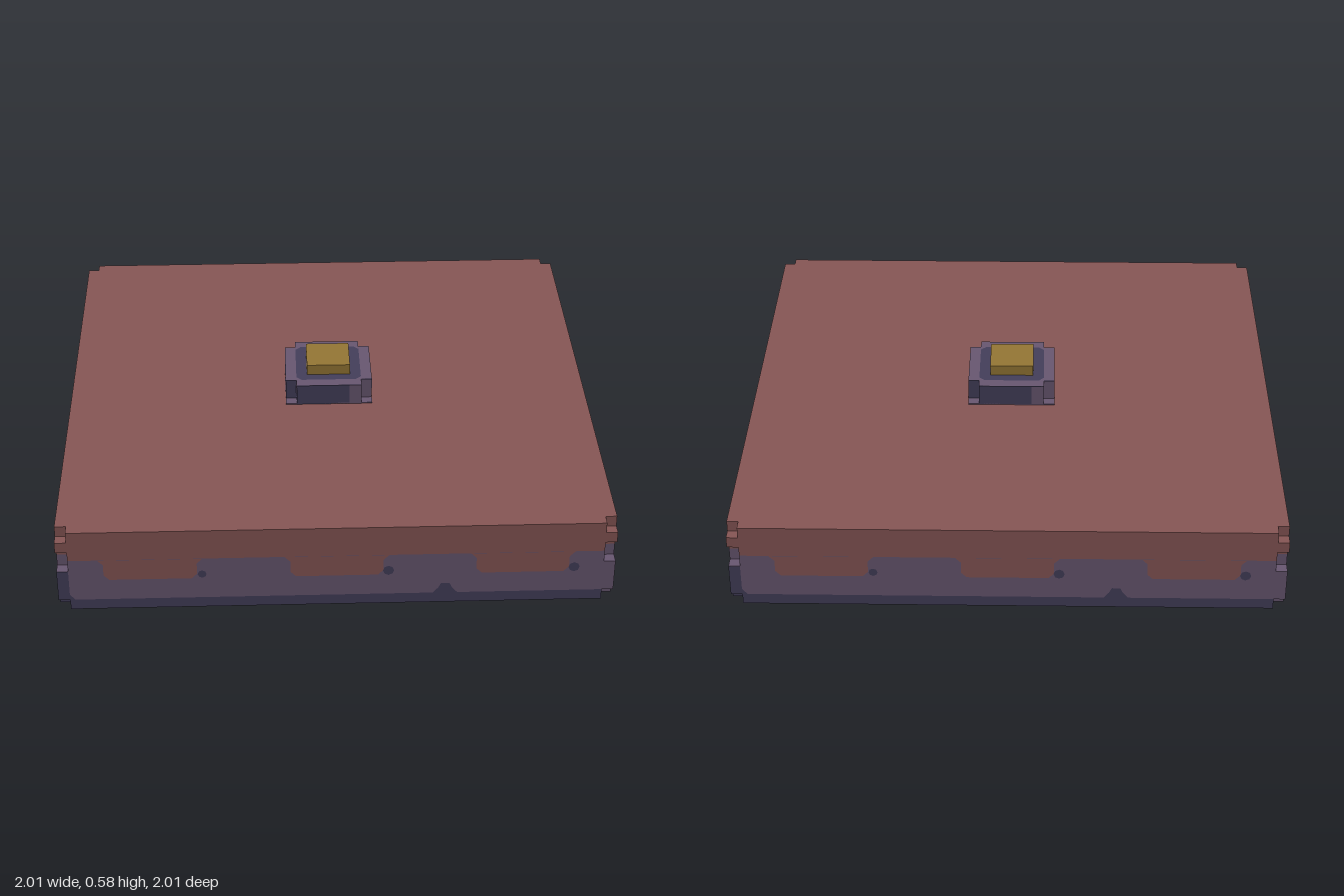
import * as THREE from 'three';

const U = 1 / 24; // one grid step
const mat = (name, color) => new THREE.MeshStandardMaterial({ name, color });

export function createModel() {
  const clay = mat('clay', 0x875756);
  const mauve = mat('mauve', 0x695872);
  const navy = mat('navy', 0x443f5b);
  const gold = mat('gold', 0x967735);
  const root = new THREE.Group();

  const add = (parent, name, geo, material, x = 0, y = 0, z = 0) => {
    const m = new THREE.Mesh(geo, material);
    m.name = name;
    m.position.set(x, y, z);
    parent.add(m);
    return m;
  };
  const box = (name, material, w, y0, y1, x = 0, z = 0) =>
    add(root, name, new THREE.BoxGeometry(w, y1 - y0, w), material, x, (y0 + y1) / 2, z);
  const poly = (pts) => new THREE.Shape(pts.map(([x, y]) => new THREE.Vector2(x, y)));
  const plate = (parent, name, pts, material, z) =>
    add(parent, name, new THREE.ShapeGeometry(poly(pts)), material, 0, 0, z);
  const rect = (x0, x1, y0, y1) => [[x0, y0], [x1, y0], [x1, y1], [x0, y1]];

  // Square outline with a one-step notch in every corner
  const notched = (h) => {
    const i = h - U;
    return poly([[-i, -h], [i, -h], [i, -i], [h, -i], [h, i], [i, i],
      [i, h], [-i, h], [-i, i], [-h, i], [-h, -i], [-i, -i]]);
  };
  const layer = (name, material, h, y0, y1) => {
    const geo = new THREE.ExtrudeGeometry(notched(h), { depth: y1 - y0, bevelEnabled: false });
    geo.rotateX(-Math.PI / 2);
    return add(root, name, geo, material, 0, y0, 0);
  };

  // Slab in three colour bands
  const bottom = 3 * U, top = 11 * U, band = 0.338;
  layer('slabBase', navy, 1, bottom, 4 * U);
  layer('slabMiddle', mauve, 1, 4 * U, band);
  layer('slabTop', clay, 1, band, top);

  // Corner blocks between the notches
  for (const sx of [-1, 1]) for (const sz of [-1, 1]) {
    const x = sx * (1 - U / 2), z = sz * (1 - U / 2);
    box('upperCornerBlock', clay, U, 9 * U, 10 * U, x, z);
    box('lowerCornerBlock', mauve, U, 4 * U, 7 * U, x, z);
  }

  // Hub on top, with a rounded inlay inside its rim
  const hub = 4 * U, hubTop = 13 * U, r = 0.02, q = 3 * U;
  layer('topHub', navy, hub, top, hubTop);
  box('hubFoot', mauve, 2 * hub, top, top + 0.004);
  const rim = notched(hub);
  const hole = new THREE.Path();
  hole.moveTo(-q + r, -q);
  hole.lineTo(q - r, -q); hole.lineTo(q, -q + r);
  hole.lineTo(q, q - r); hole.lineTo(q - r, q);
  hole.lineTo(-q + r, q); hole.lineTo(-q, q - r);
  hole.lineTo(-q, -q + r);
  hole.closePath();
  rim.holes.push(hole);
  add(root, 'hubRim', new THREE.ShapeGeometry(rim), mauve, 0, hubTop + 0.002, 0).rotation.x = -Math.PI / 2;
  box('topStud', gold, 4 * U, hubTop, 14 * U);

  // Hub underneath
  box('bottomHub', navy, 2 * hub, U, bottom);
  box('bottomHubFace', mauve, 2 * hub - 0.01, U - 0.002, U);
  box('bottomStud', gold, 4 * U, 0, U);

  // Painted details on all four sides
  const e = 0.0015, inner = 1 - U;
  for (let i = 0; i < 4; i++) {
    const side = new THREE.Group();
    side.name = 'sidePaint';
    side.rotation.y = i * Math.PI / 2;
    root.add(side);

    // Clay teeth hanging from the upper band, each with a dot beside it
    for (const c of [-2 / 3, 0, 2 / 3]) {
      const a = c - 1 / 6, b = c + 1 / 6, k = 0.02, low = 0.253;
      plate(side, 'tooth', [[a - k, band], [a, band - k], [a, low + k], [a + k, low], [b - k, low],
        [b, low + k], [b, band - k], [b + k, band]], clay, 1 + e);
      const dot = c < -0.5 ? 0.016 : 0.02;
      add(side, 'dot', new THREE.CircleGeometry(dot, 8), navy, b + 0.018, 0.272, 1 + 2 * e);
    }

    // Bump rising from the navy base, differing on alternate sides
    const bump = i % 2 ? -1 / 3 : 0.39, w = i % 2 ? 0.025 : 0.015;
    plate(side, 'bump', [[bump - w - 0.03, 4 * U], [bump + w + 0.03, 4 * U], [bump + w + 0.01, 0.19],
      [bump + w, 0.21], [bump - w, 0.21], [bump - w - 0.01, 0.19]], navy, 1 + e);

    // Navy edge strip on the left, mauve inside the bottom right notch
    plate(side, 'edgeStrip', rect(-1, -inner, 4 * U, 7 * U), navy, 1 + e);
    plate(side, 'edgeFillet', [[-inner, 4 * U], [-inner + 0.02, 4 * U], [-inner, 0.19]], navy, 1 + e);
    plate(side, 'notchPatch', rect(inner, 1, bottom, 4 * U), mauve, inner + e);

    // Mauve end of the top hub's side
    plate(side, 'hubPatch', rect(0.078, q, top, hubTop), mauve, hub + e);
    plate(side, 'hubNotchPatch', rect(q, hub, top, hubTop), mauve, q + e);
  }
  return root;
}
